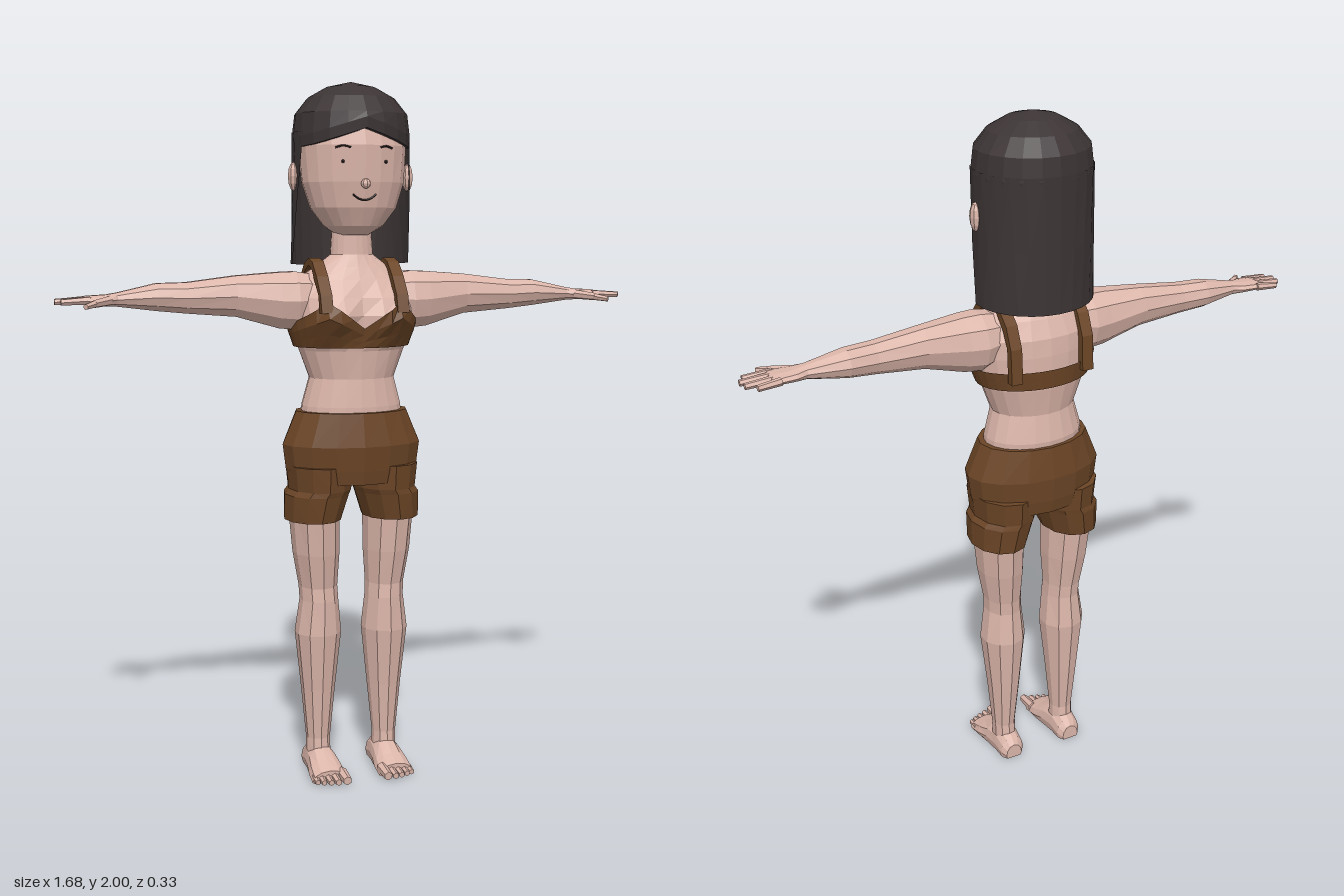
import * as THREE from 'three';

const V = (x, y, z) => new THREE.Vector3(x, y, z);
const mat = (name, color, side = THREE.FrontSide) =>
  Object.assign(new THREE.MeshStandardMaterial({ color, flatShading: true, side }), { name });

// Skin a stack of point rows, bottom to top, running counter-clockwise seen from above
function loft(rows, { closed = true, caps = true } = {}) {
  const n = rows[0].length, idx = [], pts = rows.flat();
  for (let i = 0; i < rows.length - 1; i++)
    for (let j = 0; j < (closed ? n : n - 1); j++) {
      const k = (j + 1) % n, a = i * n + j, b = i * n + k;
      idx.push(a, b, b + n, a, b + n, a + n);
    }
  if (closed && caps)
    [0, rows.length - 1].forEach((r, top) => {
      const c = pts.length, mid = V(0, 0, 0);
      rows[r].forEach(p => mid.addScaledVector(p, 1 / n));
      pts.push(mid);
      for (let j = 0; j < n; j++) {
        const a = r * n + j, b = r * n + (j + 1) % n;
        idx.push(c, ...(top ? [a, b] : [b, a]));
      }
    });
  const indexed = new THREE.BufferGeometry().setFromPoints(pts);
  indexed.setIndex(idx);
  const g = indexed.toNonIndexed();
  g.computeVertexNormals();
  return g;
}

// Elliptical ring filling x0..x1 and z0..z1 at height y
const ring = (n, y, x0, x1, z0, z1) => Array.from({ length: n }, (_, j) => {
  const a = j / n * Math.PI * 2;
  return V((x0 + x1) / 2 + (x1 - x0) / 2 * Math.sin(a), y, (z0 + z1) / 2 + (z1 - z0) / 2 * Math.cos(a));
});
const tube = (n, list) => loft(list.map(r => ring(n, ...r)));

// Interpolate a profile of [y, halfWidth, zFront, zBack]
function sample(profile, y) {
  let i = 0;
  while (i < profile.length - 2 && profile[i + 1][0] < y) i++;
  const p = profile[i], q = profile[i + 1];
  const t = THREE.MathUtils.clamp((y - p[0]) / (q[0] - p[0]), 0, 1);
  return p.map((v, k) => v + (q[k] - v) * t);
}

const TORSO = [[1.04, .15, .1, -.11], [1.09, .147, .1, -.115], [1.17, .125, .093, -.102], [1.25, .155, .102, -.115],
  [1.32, .18, .112, -.122], [1.4, .183, .1, -.115], [1.45, .16, .08, -.092], [1.485, .11, .064, -.07],
  [1.52, .062, .05, -.055], [1.62, .055, .046, -.055]];
const HEAD = [[1.575, .045, .06, -.05], [1.6, .085, .094, -.065], [1.65, .124, .117, -.09], [1.72, .147, .13, -.11],
  [1.82, .155, .136, -.135], [1.9, .14, .115, -.13], [1.96, .08, .06, -.08]];

// Torso surface with the bust; grow pushes it outward for clothing
function body(a, y, grow = 0) {
  const [, w, f, b] = sample(TORSO, y), s = Math.sin(a), c = Math.cos(a);
  const x = (w + grow) * s;
  let z = (f + b) / 2 + ((f - b) / 2 + grow) * c;
  if (c > 0) z += .05 * Math.exp(-(((Math.abs(x) - .095) / .065) ** 2) - ((y - 1.35) / .055) ** 2);
  return V(x, y, z);
}
const around = (n, f) => Array.from({ length: n }, (_, j) => f(j / n * Math.PI * 2));

function headZ(x, y) {
  const [, w, f, b] = sample(HEAD, y);
  return (f + b) / 2 + (f - b) / 2 * Math.sqrt(1 - (x / w) ** 2);
}

export function createModel() {
  const model = new THREE.Group();
  model.name = 'figure';
  const skin = mat('skin', 0xdbb5a9);
  const hair = mat('hair', 0x3c3435, THREE.DoubleSide);
  const cloth = mat('brown cloth', 0x6b4526, THREE.DoubleSide);
  const ink = mat('face lines', 0x2b2020);
  const add = (parent, name, geo, m) => {
    const mesh = new THREE.Mesh(geo, m);
    mesh.name = name;
    parent.add(mesh);
    return mesh;
  };
  // Tapered rod between two points
  const rod = (parent, name, a, b, r0, r1, m, sides = 6) => {
    const mesh = add(parent, name, new THREE.CylinderGeometry(r1, r0, a.distanceTo(b), sides), m);
    mesh.position.copy(a).lerp(b, .5);
    mesh.quaternion.setFromUnitVectors(V(0, 1, 0), b.clone().sub(a).normalize());
    return mesh;
  };

  // Torso, neck and head
  const levels = [1.04, 1.09, 1.17, 1.25, 1.3, 1.35, 1.4, 1.45, 1.485, 1.52, 1.62];
  add(model, 'torso', loft(levels.map(y => around(20, a => body(a, y)))), skin);
  add(model, 'head', tube(20, HEAD.map(([y, w, f, b]) => [y, -w, w, b, f])), skin);
  const nose = add(model, 'nose', new THREE.SphereGeometry(.014, 8, 6), skin);
  nose.position.set(0, 1.715, .134);
  const smile = [-.034, -.018, 0, .018, .034].map(x => {
    const y = 1.67 + .016 * (x / .034) ** 2;
    return V(x, y, headZ(x, y));
  });
  add(model, 'mouth', new THREE.TubeGeometry(new THREE.CatmullRomCurve3(smile), 10, .003, 5), ink);

  // Hair cap with an arched fringe, turned under to the head
  const capPoint = (a, y, r) => V(.168 * r * Math.sin(a), y, -.008 + .156 * r * Math.cos(a));
  const fringe = a => 1.818 + (Math.cos(a) > 0 ? .047 * Math.max(0, 1 - Math.abs(Math.sin(a)) / .9) : 0);
  const cap = [[1.91, .955], [1.955, .74], [1.985, .42], [2, .02]];
  add(model, 'hairCap', loft([
    around(20, a => capPoint(a, fringe(a), .86)),
    around(20, a => capPoint(a, fringe(a), .985)),
    around(20, a => capPoint(a, fringe(a) + .03, 1)),
    ...cap.map(([y, r]) => around(20, a => capPoint(a, y, r)))], { caps: true }), hair);

  // Long hair curtain around the back and sides
  const curtain = [[1.495, 1.56, 1.03], [1.66, 1.38, 1.01], [1.86, 1.18, 1]].map(([y, a0, r]) =>
    Array.from({ length: 15 }, (_, j) => {
      const a = a0 + (2 * Math.PI - 2 * a0) * j / 14;
      const p = capPoint(a, y + (y < 1.5 ? .008 * Math.cos(a) : 0), 1);
      p.x *= r;
      return p;
    }));
  add(model, 'longHair', loft(curtain, { closed: false }), hair);

  // Top: a band whose upper edge rises into two cups
  const topEdge = a => {
    const x = Math.abs(.19 * Math.sin(a));
    if (Math.cos(a) <= 0) return 1.315;
    return x < .105 ? 1.315 + .075 * x / .105 : 1.39 - .065 * (x - .105) / .085;
  };
  add(model, 'topBand', loft([0, .3, .65, 1].map(t =>
    around(32, a => body(a, 1.26 + (topEdge(a) - 1.26) * t, .011))), { caps: false }), cloth);

  // Shorts: hips
  add(model, 'shortsHips', tube(16, [[.87, -.185, .185, -.125, .118], [.91, -.197, .197, -.132, .125],
    [.98, -.206, .206, -.137, .132], [1.075, -.165, .165, -.125, .115]]), cloth);

  // Everything built on the +x side, then mirrored
  const side = new THREE.Group();
  side.name = 'leftSide';

  const ear = add(side, 'ear', new THREE.SphereGeometry(1, 8, 6), skin);
  ear.scale.set(.016, .04, .02);
  ear.position.set(.169, 1.737, -.005);
  const lash = [.042, .062, .082].map((x, i) => V(x, 1.812 + (i === 1 ? .005 : 0), headZ(x, 1.812) + .001));
  add(side, 'brow', new THREE.TubeGeometry(new THREE.CatmullRomCurve3(lash), 6, .003, 5), ink);
  const eye = add(side, 'eye', new THREE.SphereGeometry(.005, 6, 4), ink);
  eye.position.set(.062, 1.775, headZ(.062, 1.775));

  // Shoulder strap
  const outer = [[.14, 1.36], [.125, 1.41], [.085, 1.46], [.04, 1.5], [0, 1.51], [-.045, 1.495], [-.095, 1.45], [-.122, 1.39], [-.128, 1.29]];
  const inner = outer.map(([z, y]) => [z * .82, y - (y > 1.44 ? .02 : 0)]).reverse();
  const strap = new THREE.ExtrudeGeometry(new THREE.Shape([...outer, ...inner].map(p => new THREE.Vector2(...p))),
    { depth: .034, bevelEnabled: false });
  strap.rotateY(-Math.PI / 2).translate(.128, 0, 0);
  add(side, 'strap', strap, cloth);

  // Arm: [x, yLow, yHigh, zBack, zFront]
  const arm = [[.1, 1.33, 1.465, -.07, .06], [.17, 1.305, 1.477, -.085, .075], [.22, 1.31, 1.475, -.078, .07],
    [.34, 1.345, 1.465, -.068, .047], [.48, 1.357, 1.447, -.058, .04], [.56, 1.365, 1.445, -.064, .034],
    [.67, 1.38, 1.42, -.036, .022], [.7, 1.382, 1.415, -.045, .036], [.755, 1.385, 1.412, -.05, .04], [.765, 1.39, 1.408, -.046, .036]];
  const armGeo = tube(10, arm.map(([x, lo, hi, b, f]) => [x, -hi, -lo, b, f]));
  add(side, 'arm', armGeo.rotateZ(-Math.PI / 2), skin);
  [[-.042, .81], [-.018, .835], [.006, .84], [.028, .825]].forEach(([z, tip]) =>
    rod(side, 'finger', V(.745, 1.4, z), V(tip, 1.396, z * 1.15), .0115, .009, skin));
  rod(side, 'thumbBase', V(.695, 1.398, .02), V(.74, 1.392, .062), .014, .011, skin);
  rod(side, 'thumbTip', V(.738, 1.392, .06), V(.766, 1.386, .092), .011, .008, skin);

  // Leg and shorts leg
  add(side, 'shortsLeg', tube(12, [[.76, .036, .2, -.115, .1], [.835, .012, .2, -.124, .112],
    [.85, .006, .188, -.124, .114], [.92, 0, .195, -.13, .12]]), cloth);
  add(side, 'leg', tube(10, [[.05, .066, .138, -.05, .035], [.1, .067, .138, -.045, .03], [.25, .052, .152, -.062, .045],
    [.42, .034, .17, -.078, .066], [.52, .044, .156, -.068, .064], [.56, .046, .158, -.07, .06],
    [.66, .04, .175, -.088, .078], [.8, .04, .187, -.105, .092]]), skin);

  // Foot: [z, x0, x1, height], flattened on the ground
  const foot = tube(12, [[-.076, .075, .128, .045], [-.06, .062, .14, .065], [-.02, .06, .142, .085],
    [.03, .055, .146, .075], [.075, .048, .153, .052], [.12, .048, .155, .034]].map(([z, a, b, h]) => [z, a, b, -h, .025]));
  foot.rotateX(Math.PI / 2);
  const fp = foot.attributes.position;
  for (let i = 0; i < fp.count; i++) fp.setY(i, Math.max(0, fp.getY(i)));
  foot.computeVertexNormals();
  add(side, 'foot', foot, skin);
  [[.062, .165, .016], [.087, .16, .012], [.107, .154, .011], [.126, .147, .0105], [.143, .138, .01]].forEach(([x, tip, r]) =>
    rod(side, 'toe', V(x, r + .004, .1), V(x, r, tip), r, r * .8, skin));

  const other = side.clone();
  other.name = 'rightSide';
  other.scale.x = -1;
  model.add(side, other);
  return model;
}
